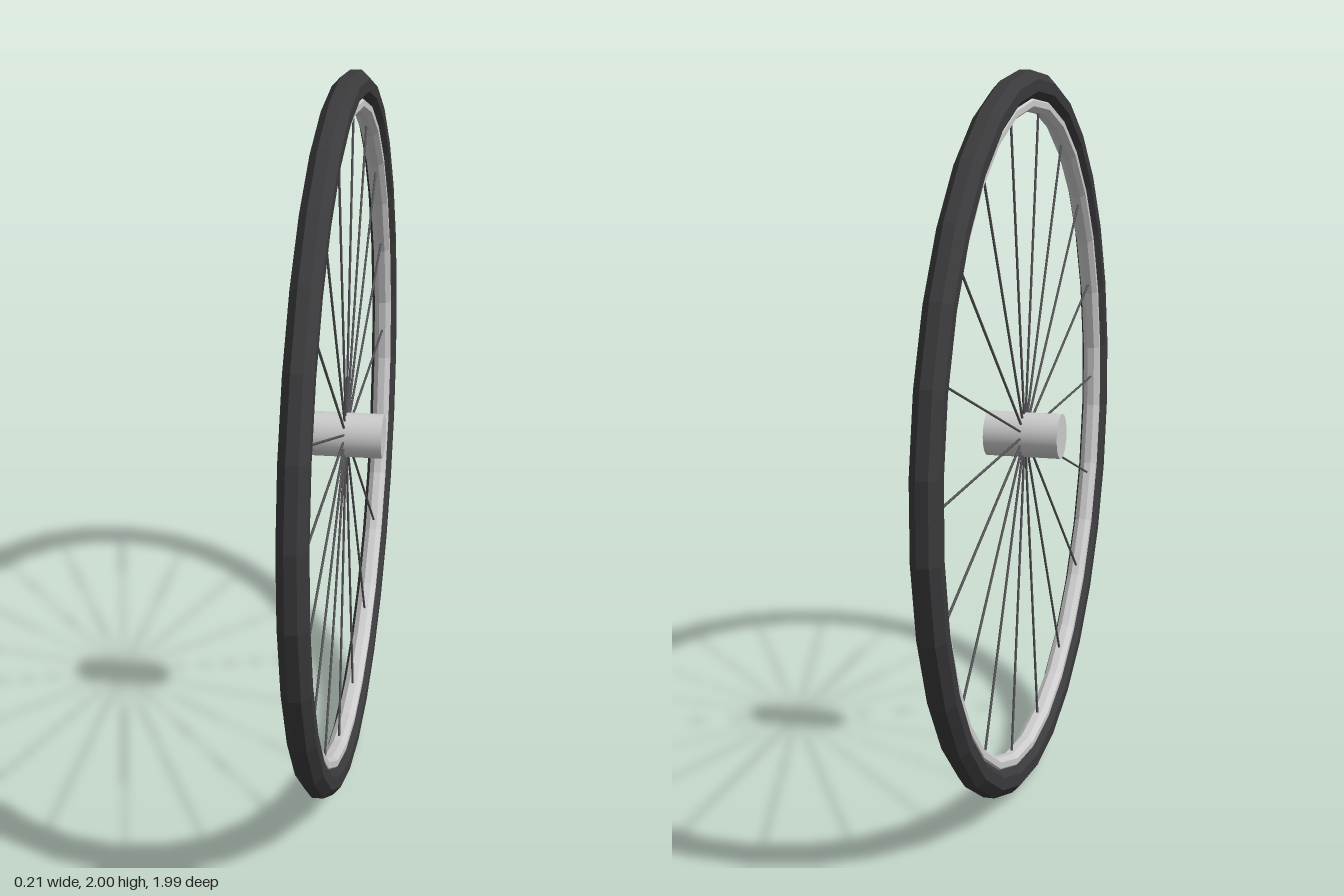
import * as THREE from 'three';

const SEGMENTS = 30;

// Ring around the x axis with an eight-sided section that has flat sides
function ring(name, radius, halfDepth, halfWidth, material) {
  const points = [];
  for (let i = 0; i <= 8; i++) {
    const a = (i + 0.5) * Math.PI / 4;
    const k = 1 / Math.cos(Math.PI / 8);
    points.push(new THREE.Vector2(radius + Math.cos(a) * k * halfDepth, Math.sin(a) * k * halfWidth));
  }
  const geometry = new THREE.LatheGeometry(points, SEGMENTS, Math.PI / 2);
  geometry.rotateZ(Math.PI / 2);
  const mesh = new THREE.Mesh(geometry, material);
  mesh.name = name;
  return mesh;
}

export function createModel() {
  const rubber = new THREE.MeshStandardMaterial({ color: 0x3a3a3c, flatShading: true });
  const rimMetal = new THREE.MeshStandardMaterial({ color: 0xcccccc, flatShading: true });
  const hubMetal = new THREE.MeshStandardMaterial({ color: 0xcccccc });
  const spokeMetal = new THREE.MeshStandardMaterial({ color: 0x555558 });

  const wheel = new THREE.Group();
  wheel.name = 'wheel';
  wheel.position.y = 1;

  // Tyre and the metal rim just inside it
  wheel.add(ring('tyre', 0.96, 0.04, 0.0375, rubber));
  wheel.add(ring('rim', 0.912, 0.02, 0.025, rimMetal));

  // Hub along the axle
  const hub = new THREE.Mesh(new THREE.CylinderGeometry(0.0625, 0.0625, 0.21, 24), hubMetal);
  hub.name = 'hub';
  hub.rotation.z = Math.PI / 2;
  wheel.add(hub);

  // Eighteen spokes in the plane of the wheel, from hub to rim
  const spokes = new THREE.Group();
  spokes.name = 'spokes';
  const inner = 0.03, outer = 0.9;
  const spokeGeometry = new THREE.CylinderGeometry(0.0035, 0.0035, outer - inner, 6);
  spokeGeometry.translate(0, (inner + outer) / 2, 0);
  for (let i = 0; i < 18; i++) {
    const spoke = new THREE.Mesh(spokeGeometry, spokeMetal);
    spoke.name = 'spoke';
    spoke.rotation.x = Math.PI / 2 + i * Math.PI / 9;
    spokes.add(spoke);
  }
  wheel.add(spokes);

  const model = new THREE.Group();
  model.name = 'spokedWheel';
  model.add(wheel);
  return model;
}
